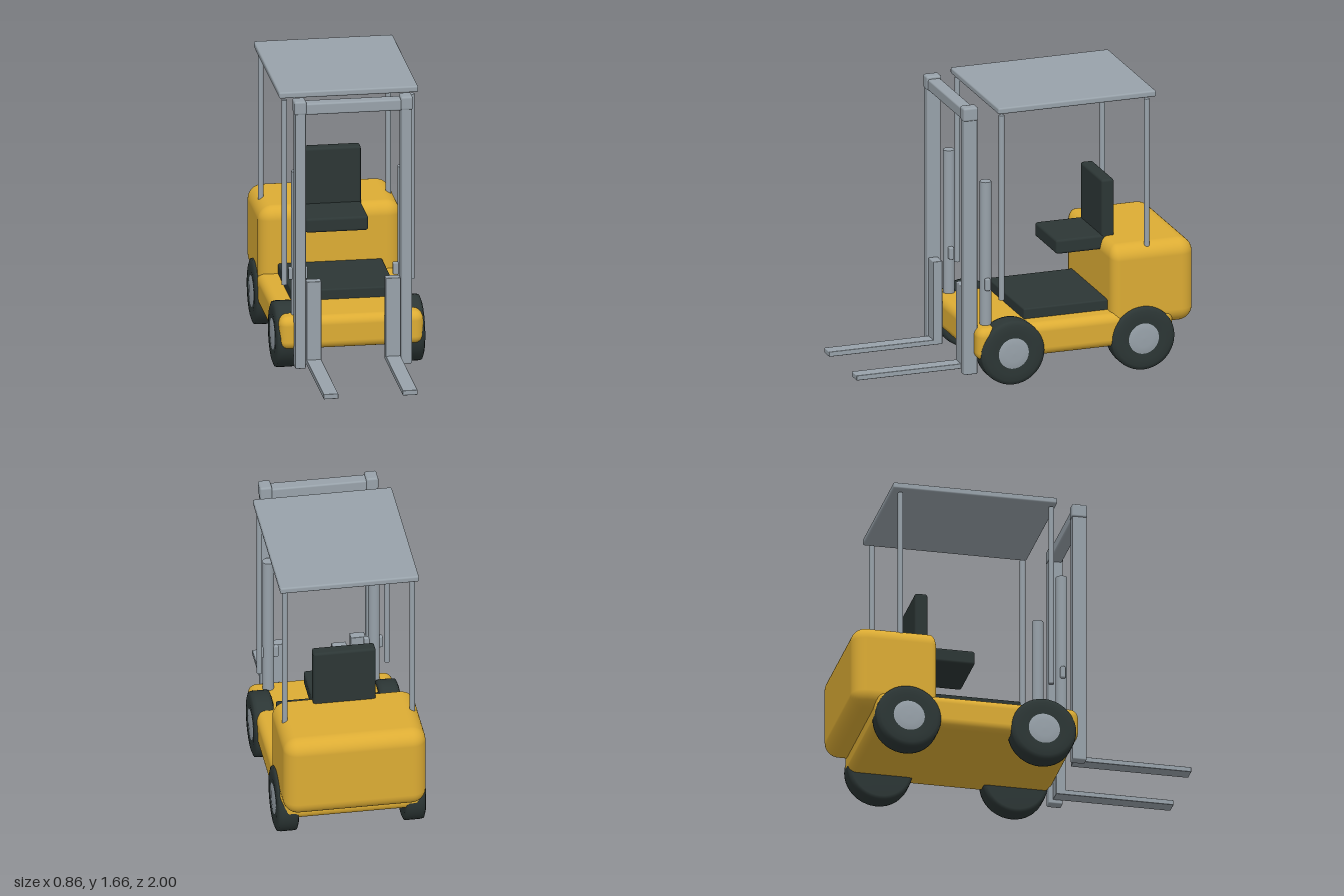
import * as THREE from 'three';
import { RoundedBoxGeometry } from 'three/addons/geometries/RoundedBoxGeometry.js';

const yellow = new THREE.MeshStandardMaterial({ name: 'yellow paint', color: 0xdcac34 });
const steel = new THREE.MeshStandardMaterial({ name: 'grey steel', color: 0x98a2aa });
const dark = new THREE.MeshStandardMaterial({ name: 'dark rubber', color: 0x2c3635 });

export function createModel() {
  const model = new THREE.Group();
  model.name = 'forklift';

  const add = (name, geometry, material, parent = model) => {
    const mesh = new THREE.Mesh(geometry, material);
    mesh.name = name;
    parent.add(mesh);
    return mesh;
  };

  // Rounded box given by its [min, max] extent on each axis
  const block = (name, [x0, x1], [y0, y1], [z0, z1], radius, material, segments = 2) => {
    const geometry = new RoundedBoxGeometry(x1 - x0, y1 - y0, z1 - z0, segments, radius);
    geometry.translate((x0 + x1) / 2, (y0 + y1) / 2, (z0 + z1) / 2);
    return add(name, geometry, material);
  };

  // Upright rod between two heights
  const rod = (name, x, z, y0, y1, radius) => {
    const geometry = new THREE.CylinderGeometry(radius, radius, y1 - y0, 20);
    add(name, geometry, steel).position.set(x, (y0 + y1) / 2, z);
  };

  // Body
  block('chassis', [-0.415, 0.415], [0.15, 0.345], [-0.87, 0.315], 0.05, yellow, 4);
  block('floorPlate', [-0.3, 0.3], [0.33, 0.405], [-0.52, 0], 0.01, dark);

  // Counterweight: the rounding is shallower on the front side
  const weight = block('counterweight', [-0.41, 0.41], [0.25, 0.745], [-1, -0.505], 0.085, yellow, 5);
  const p = weight.geometry.attributes.position;
  const front = -0.505;
  for (let i = 0; i < p.count; i++) {
    const depth = front - p.getZ(i);
    if (depth < 0.086) p.setZ(i, front - depth * 0.5);
  }

  // Seat
  block('seatCushion', [-0.18, 0.18], [0.665, 0.75], [-0.58, -0.24], 0.015, dark);
  block('seatBack', [-0.18, 0.18], [0.665, 1.08], [-0.59, -0.515], 0.015, dark);

  // Overhead roof
  block('roof', [-0.4, 0.4], [1.62, 1.657], [-0.765, 0.19], 0.01, steel);

  // Mast crossbeam
  block('mastCrossbeam', [-0.3, 0.3], [1.575, 1.642], [0.295, 0.37], 0.01, steel);

  // Tyre and hub profiles, as radius and distance from the centre line
  const tyreProfile = [[0, 0.305], [0.17, 0.305], [0.188, 0.312], [0.19, 0.33], [0.19, 0.4],
    [0.187, 0.419], [0.165, 0.427], [0.13, 0.43], [0.09, 0.427]];
  const hubProfile = [[0.094, 0.422], [0.09, 0.428], [0.05, 0.431], [0, 0.432]];
  const lathe = (points) =>
    new THREE.LatheGeometry(points.map(([r, y]) => new THREE.Vector2(r, y)), 40);
  const tyreGeometry = lathe(tyreProfile);
  const hubGeometry = lathe(hubProfile);

  for (const side of [1, -1]) {
    const label = side > 0 ? 'left' : 'right';
    const span = (a, b) => (side > 0 ? [a, b] : [-b, -a]);

    // Wheels
    for (const [end, z] of [['Front', 0.107], ['Rear', -0.68]]) {
      const wheel = new THREE.Group();
      wheel.name = `${label}${end}Wheel`;
      add('tyre', tyreGeometry, dark, wheel);
      add('hub', hubGeometry, steel, wheel);
      wheel.rotation.z = -side * Math.PI / 2;
      wheel.position.set(0, 0.19, z);
      model.add(wheel);
    }

    // Roof posts
    rod(`${label}FrontPost`, side * 0.367, 0.16, 0.5, 1.605, 0.016);
    rod(`${label}RearPost`, side * 0.367, -0.718, 0.72, 1.605, 0.016);

    // Mast upright with its cap
    block(`${label}MastUpright`, span(0.275, 0.335), [0.06, 1.64], [0.292, 0.375], 0.008, steel);
    block(`${label}MastCap`, span(0.271, 0.341), [1.578, 1.658], [0.288, 0.378], 0.012, steel);

    // Lift cylinder and its bracket
    rod(`${label}LiftCylinder`, side * 0.305, 0.234, 0.3, 1.2, 0.033);
    block(`${label}CylinderBracket`, span(0.245, 0.355), [0.555, 0.628], [0.22, 0.25], 0.008, steel);

    // Fork
    block(`${label}ForkUpright`, span(0.185, 0.27), [0.08, 0.577], [0.315, 0.37], 0.004, steel);
    block(`${label}ForkBlade`, span(0.185, 0.27), [0.08, 0.11], [0.33, 1], 0.004, steel);
  }

  return model;
}
